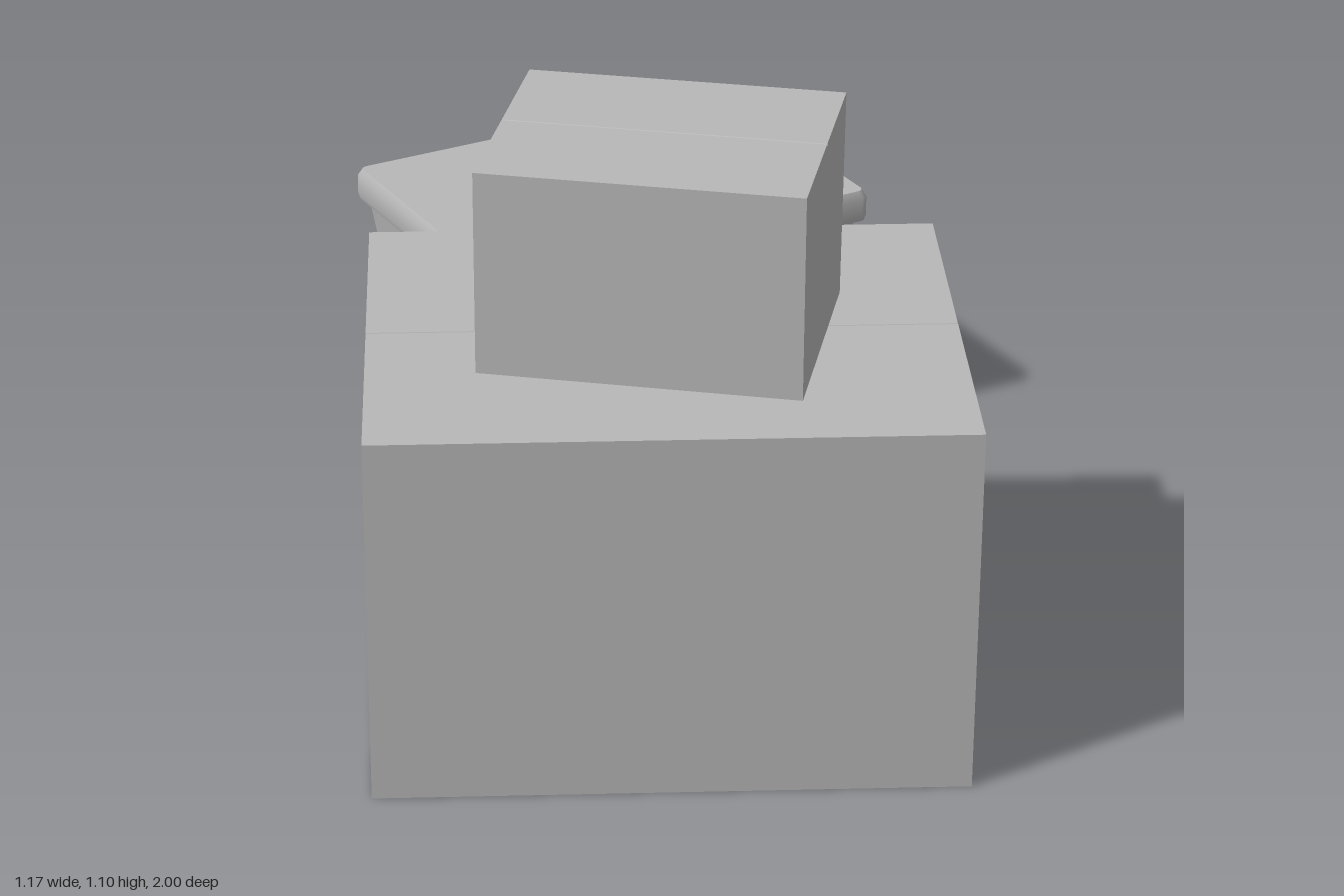
import * as THREE from 'three';
import { toCreasedNormals } from 'three/addons/utils/BufferGeometryUtils.js';

const grey = new THREE.MeshStandardMaterial({ color: 0xb8b8b8, side: THREE.DoubleSide });
grey.name = 'plain grey';

function part(name, geometry, parent) {
  const mesh = new THREE.Mesh(geometry, grey);
  mesh.name = name;
  parent.add(mesh);
  return mesh;
}

function extrude(points, depth) {
  const shape = new THREE.Shape(points.map(([x, y]) => new THREE.Vector2(x, y)));
  return new THREE.ExtrudeGeometry(shape, { depth, bevelEnabled: false });
}

// Closed carton with a hairline seam between its lid flaps and one crushed lower corner
function cartonGeometry(width, height, depth, crush) {
  const d = depth / 2, s = 0.002;
  const geo = extrude([[-d, 0], [d, 0], [d, height], [s, height], [0, height - 0.004], [-s, height], [-d, height]], width);
  geo.rotateY(-Math.PI / 2).translate(width / 2, 0, 0);
  const p = geo.attributes.position;
  for (let i = 0; i < p.count; i++) {
    if (p.getY(i) < 0.001 && p.getX(i) > 0 && p.getZ(i) < 0) p.setZ(i, p.getZ(i) + crush);
  }
  geo.computeVertexNormals();
  return geo;
}

// Rounded-rectangle rings [halfWidth, halfDepth, y, cornerRadius] joined upwards
function loft(rings, capped) {
  const pos = [], idx = [], steps = 3, n = 4 * (steps + 1);
  for (const [a, b, y, r] of rings) {
    [[1, 1], [-1, 1], [-1, -1], [1, -1]].forEach(([sx, sy], c) => {
      for (let k = 0; k <= steps; k++) {
        const t = (c + k / steps) * Math.PI / 2;
        pos.push(sx * (a - r) + r * Math.cos(t), y, -(sy * (b - r) + r * Math.sin(t)));
      }
    });
  }
  const last = (rings.length - 1) * n, centre = rings.length * n;
  if (capped) pos.push(0, rings[0][2], 0, 0, rings[rings.length - 1][2], 0);
  for (let i = 0; i < n; i++) {
    const j = (i + 1) % n;
    for (let k = 0; k < last; k += n) {
      idx.push(k + i, k + j, k + n + j, k + i, k + n + j, k + n + i);
    }
    if (capped) idx.push(centre, j, i, centre + 1, last + i, last + j);
  }
  const geo = new THREE.BufferGeometry();
  geo.setAttribute('position', new THREE.Float32BufferAttribute(pos, 3));
  geo.setIndex(idx);
  return toCreasedNormals(geo, 0.6);
}

export function createModel() {
  const model = new THREE.Group();
  model.name = 'stackedBoxesAndBin';

  // Two cartons stacked at different angles
  const large = part('largeCarton', cartonGeometry(1.077, 0.71, 0.885, 0.043), model);
  large.position.set(-0.002, 0, 0.5);
  large.rotation.y = -0.111;
  const small = part('smallCarton', cartonGeometry(0.588, 0.388, 0.482, 0.027), model);
  small.position.set(-0.002, 0.71, 0.5);
  small.rotation.y = -0.338;

  // Storage bin
  const bin = new THREE.Group();
  bin.name = 'storageBin';
  bin.position.set(0.06, 0, -0.562);
  bin.rotation.y = 0.353;
  model.add(bin);

  // Tapered walls, open underneath
  part('binWalls', loft([[0.341, 0.245, 0, 0.012], [0.418, 0.292, 0.478, 0.016]], false), bin);

  // Lid with a softened upper edge
  part('binLid', loft([
    [0.432, 0.305, 0.475, 0.014],
    [0.435, 0.308, 0.485, 0.016],
    [0.435, 0.308, 0.525, 0.016],
    [0.427, 0.3, 0.541, 0.014],
  ], true), bin);

  // Handle with slightly splayed legs
  const handle = extrude([
    [-0.152, 0], [-0.098, 0], [-0.09, 0.07], [0.09, 0.07], [0.098, 0], [0.152, 0],
    [0.143, 0.105], [0.132, 0.116], [-0.132, 0.116], [-0.143, 0.105],
  ], 0.08);
  handle.translate(0, 0.54, -0.04);
  part('lidHandle', handle, bin);

  return model;
}
